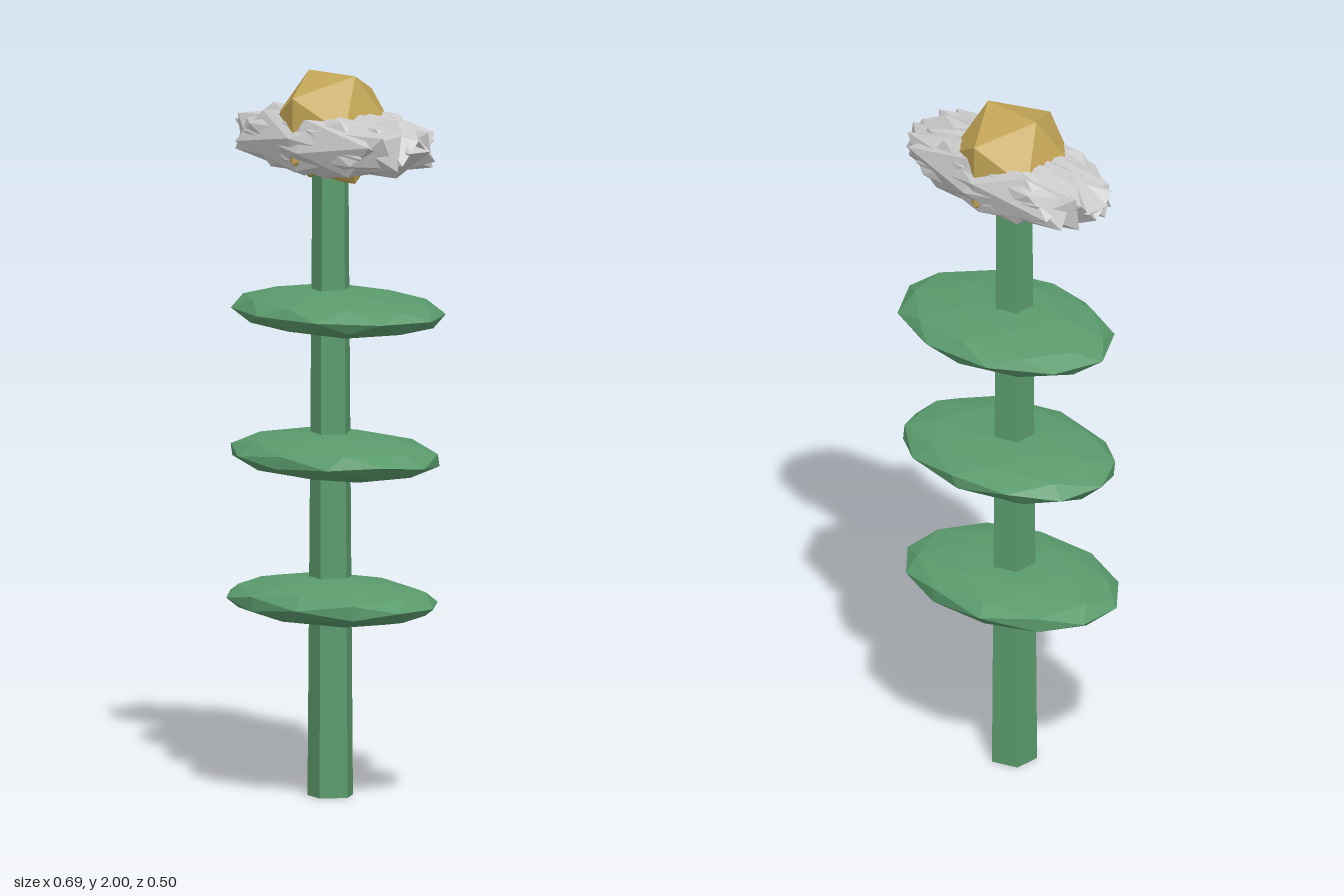
import * as THREE from 'three';

const AXIS_X = -0.012; // the plant stands slightly off centre

const flat = (color) => new THREE.MeshStandardMaterial({ color, flatShading: true });

function add(parent, name, geometry, material, x, y, z) {
  const mesh = new THREE.Mesh(geometry, material);
  mesh.name = name;
  mesh.position.set(x, y, z);
  parent.add(mesh);
  return mesh;
}

// Faceted ellipsoid: a low-poly ball, turned first, then stretched
function ellipsoid(detail, [rx, ry, rz], turnX, turnY) {
  return new THREE.IcosahedronGeometry(1, detail)
    .rotateX(turnX).rotateY(turnY).scale(rx, ry, rz);
}

export function createModel() {
  const model = new THREE.Group();
  model.name = 'flower';
  const green = flat(0x5a9a6c);
  const gold = flat(0xc4a657);
  const grey = flat(0xcccccc);

  // Five-sided tapering stem with one edge towards +x
  add(model, 'stem', new THREE.CylinderGeometry(0.052, 0.066, 1.8, 5, 1, false, Math.PI / 2),
    green, -0.016, 0.9, 0);

  // Three flat leaf pads along the stem
  [[0.545, 0, 0.3, 0.012], [0.945, 0.5, 1.1, 0], [1.342, 1.0, 2.0, -0.012]].forEach(([y, tx, ty, z], i) => {
    add(model, 'leaf' + (i + 1), ellipsoid(1, [0.345, 0.065, 0.245], tx, ty), green, 0, y, z);
  });

  // Spiky ring of long overlapping petals
  const petals = new THREE.Group();
  petals.name = 'petals';
  const count = 18;
  for (let i = 0; i < count; i++) {
    const a = (i / count) * Math.PI * 2;
    add(petals, 'petal' + (i + 1), ellipsoid(0, [0.295, 0.095, 0.075], i * 0.7, 0),
      grey, Math.cos(a) * 0.09, 1.815, Math.sin(a) * 0.09);
  }
  model.add(petals);

  // Faceted flower centre
  add(model, 'flowerCentre', new THREE.IcosahedronGeometry(0.175, 0), gold, AXIS_X, 1.851, 0);

  return model;
}
